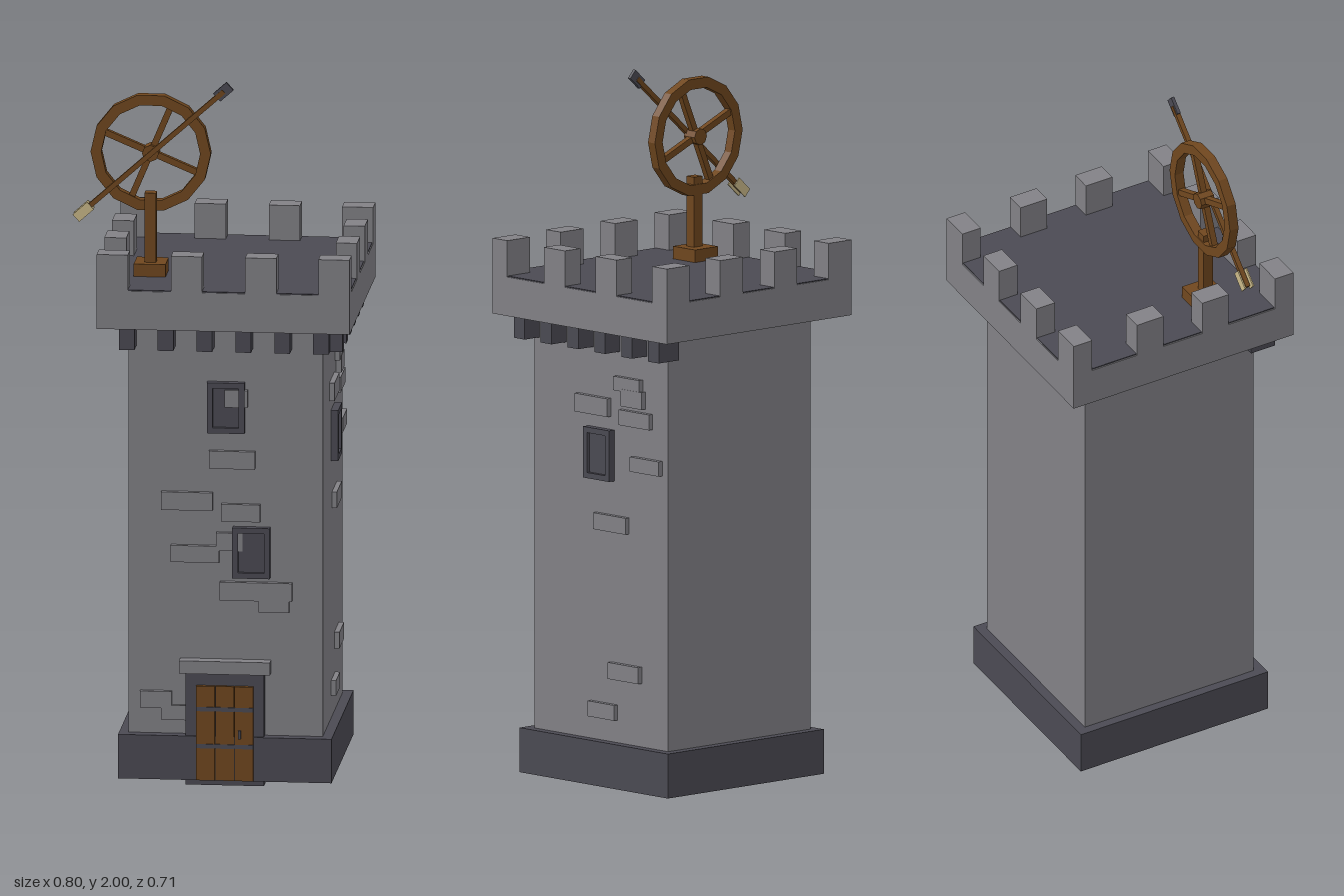
import * as THREE from 'three';

const material = (name, hex) => {
  const m = new THREE.MeshStandardMaterial({ color: hex, flatShading: true });
  m.name = name;
  return m;
};

export function createModel() {
  const stone = material('stone', 0x828186);
  const darkStone = material('dark stone', 0x4b4a53);
  const wood = material('wood', 0x70471e);
  const cream = material('cream feather', 0xc9b888);

  const model = new THREE.Group();
  model.name = 'watchtower';

  const add = (parent, name, geometry, mat) => {
    const mesh = new THREE.Mesh(geometry, mat);
    mesh.name = name;
    parent.add(mesh);
    return mesh;
  };
  // Box given by its limits on each axis
  const box = (parent, name, mat, x0, x1, y0, y1, z0, z1) => {
    const mesh = add(parent, name, new THREE.BoxGeometry(x1 - x0, y1 - y0, z1 - z0), mat);
    mesh.position.set((x0 + x1) / 2, (y0 + y1) / 2, (z0 + z1) / 2);
    return mesh;
  };
  const group = (name, parent = model) => {
    const g = new THREE.Group();
    g.name = name;
    parent.add(g);
    return g;
  };

  // Tower body, plinth and parapet
  const cx = 0.042;
  box(model, 'towerBody', stone, -0.234, 0.316, 0.05, 1.34, -0.274, 0.274);
  box(model, 'plinth', darkStone, -0.26, 0.344, 0.015, 0.142, -0.302, 0.306);
  box(model, 'parapet', stone, -0.315, 0.4, 1.325, 1.436, -0.357, 0.357);
  box(model, 'roofDeck', darkStone, -0.311, 0.397, 1.43, 1.439, -0.354, 0.354);

  // Merlons: four along front and back, two more on each side
  const merlons = group('merlons');
  const merlon = (x0, x1, z0, z1) => box(merlons, 'merlon', stone, x0, x1, 1.43, 1.54, z0, z1);
  for (const x of [-0.315, -0.105, 0.105, 0.312]) {
    merlon(x, x + 0.088, 0.297, 0.357);
    merlon(x, x + 0.088, -0.357, -0.297);
  }
  for (const z of [-0.151, 0.061]) {
    merlon(-0.315, -0.253, z, z + 0.086);
    merlon(0.34, 0.4, z, z + 0.086);
  }

  // Decorated walls: u runs along the wall, z points outwards
  const front = group('frontWall');
  front.position.z = 0.274;
  const right = group('sideWall');
  right.position.x = 0.316;
  right.rotation.y = Math.PI / 2;

  // Corbels under the parapet
  for (let i = 0; i < 6; i++) {
    const u = (i - 2.5) * 0.11;
    box(front, 'corbel', darkStone, cx + u - 0.022, cx + u + 0.022, 1.26, 1.33, -0.02, 0.058);
    box(right, 'corbel', darkStone, u - 0.022, u + 0.022, 1.26, 1.33, -0.02, 0.058);
  }

  // Raised bricks: [u0, u1, y0, y1]
  const bricks = (wall, list) => list.forEach(([u0, u1, y0, y1], i) =>
    box(wall, 'raisedBrick', stone, u0, u1, y0, y1, -0.01, 0.015 - (i % 2) * 0.001));
  bricks(front, [
    [0.04, 0.104, 1.09, 1.14], [-0.005, 0.125, 0.912, 0.963],
    [-0.14, 0.005, 0.79, 0.842], [0.03, 0.14, 0.76, 0.81],
    [-0.113, 0.024, 0.64, 0.688], [0.016, 0.09, 0.675, 0.727],
    [0.026, 0.23, 0.532, 0.585], [0.135, 0.222, 0.5, 0.545],
    [-0.2, -0.11, 0.217, 0.265], [-0.14, -0.06, 0.183, 0.225],
  ]);
  bricks(right, [
    [-0.095, 0.04, 1.07, 1.122], [0.063, 0.17, 1.15, 1.19],
    [0.095, 0.18, 1.108, 1.157], [0.085, 0.21, 1.053, 1.097],
    [0.132, 0.25, 0.926, 0.968], [-0.02, 0.113, 0.743, 0.79],
    [0.042, 0.167, 0.323, 0.37], [-0.042, 0.066, 0.206, 0.25],
  ]);

  // Windows: a pane inside four frame bars
  const makeWindow = (wall, u, y) => {
    const g = group('window', wall);
    const w = 0.053, h = 0.073, t = 0.016;
    g.position.set(u, y, 0);
    box(g, 'windowPane', darkStone, -w, w, -h, h, -0.01, 0.01);
    for (const s of [-1, 1]) {
      const bar = s * (w - t / 2), rail = s * (h - t / 2);
      box(g, 'windowFrame', darkStone, bar - t / 2, bar + t / 2, -h, h, 0, 0.021);
      box(g, 'windowFrame', darkStone, -w + t, w - t, rail - t / 2, rail + t / 2, 0, 0.021);
    }
  };
  makeWindow(front, 0.043, 1.089);
  makeWindow(front, 0.115, 0.671);
  makeWindow(right, 0, 0.96);

  // Door with three planks, iron straps and a handle
  const door = group('door', front);
  box(door, 'doorFrame', darkStone, -0.07, 0.152, 0, 0.325, -0.02, 0.024);
  box(door, 'lintel', stone, -0.087, 0.17, 0.323, 0.36, -0.01, 0.037);
  for (let i = 0; i < 3; i++) {
    const x = -0.039 + i * 0.0545;
    box(door, 'doorPlank', wood, x, x + 0.053, 0.016, 0.288, 0, i === 1 ? 0.035 : 0.037);
  }
  for (const y of [0.115, 0.222]) {
    box(door, 'doorStrap', darkStone, -0.039, 0.123, y - 0.006, y + 0.006, 0.033, 0.039);
  }
  box(door, 'doorHandle', darkStone, 0.08, 0.088, 0.138, 0.162, 0.035, 0.042);

  // Wheel stand on the roof
  const stand = group('wheelStand');
  box(stand, 'standFoot', wood, -0.228, -0.138, 1.436, 1.475, 0.097, 0.188);
  box(stand, 'standPost', wood, -0.2, -0.167, 1.47, 1.675, 0.132, 0.163);

  // Wheel: fourteen-sided rim, four spokes and a hub
  const wheel = group('wheel');
  wheel.position.set(-0.183, 1.79, 0.143);
  const ring = (r) => Array.from({ length: 14 }, (_, i) => {
    const a = (i / 14) * Math.PI * 2;
    return new THREE.Vector2(Math.cos(a) * r, Math.sin(a) * r);
  });
  const rimShape = new THREE.Shape(ring(0.17));
  rimShape.holes.push(new THREE.Path(ring(0.14).reverse()));
  const rim = new THREE.ExtrudeGeometry(rimShape, { depth: 0.028, bevelEnabled: false });
  add(wheel, 'wheelRim', rim.translate(0, 0, -0.014), wood);
  for (let i = 0; i < 2; i++) {
    const spoke = box(wheel, 'wheelSpokes', wood, -0.145, 0.145, -0.009, 0.009, -0.009, 0.009);
    spoke.rotation.z = -0.4 + i * Math.PI / 2;
  }
  const hub = add(wheel, 'wheelHub', new THREE.CylinderGeometry(0.024, 0.024, 0.044, 8), wood);
  hub.rotation.x = Math.PI / 2;

  // Arrow laid across the wheel
  const arrow = group('arrow');
  arrow.position.set(-0.176, 1.795, 0.165);
  arrow.rotation.z = 0.73;
  box(arrow, 'arrowShaft', wood, -0.285, 0.27, -0.007, 0.007, -0.007, 0.007);
  box(arrow, 'arrowTip', darkStone, 0.243, 0.293, -0.015, 0.015, -0.005, 0.005);
  for (const z of [-0.013, 0.013]) {
    box(arrow, 'arrowFeather', cream, -0.29, -0.235, -0.014, 0.014, z - 0.002, z + 0.002);
  }
  return model;
}
